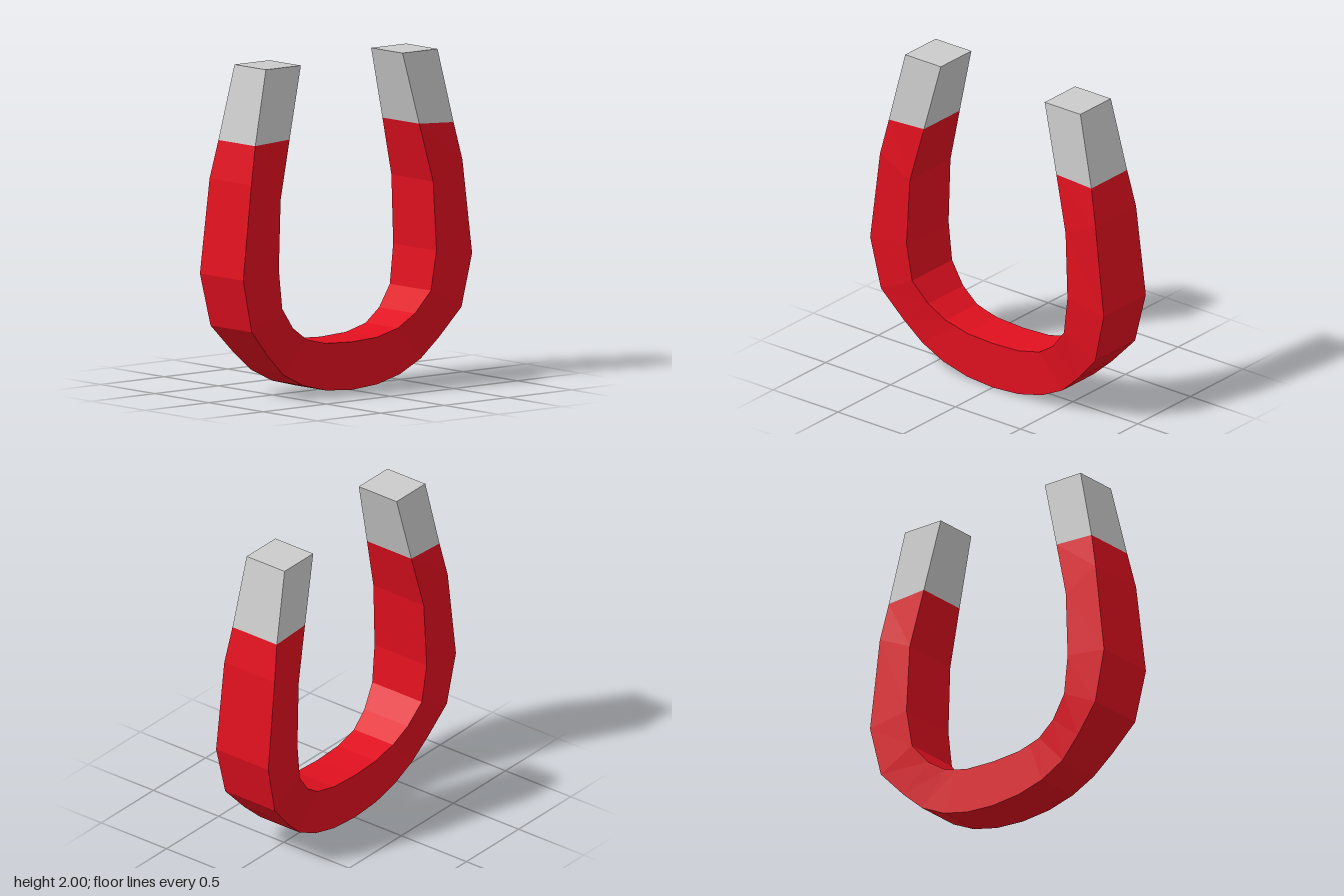
import * as THREE from 'three';

// Half of the horseshoe, bottom centre to tip: outer x, y, inner x, y, half depth
const half = [
  [0, 0, 0, 0.29, 0.145],
  [0.20, 0.015, 0.20, 0.30, 0.145],
  [0.38, 0.06, 0.28, 0.32, 0.145],
  [0.54, 0.14, 0.36, 0.34, 0.149],
  [0.67, 0.26, 0.48, 0.42, 0.166],
  [0.825, 0.43, 0.585, 0.55, 0.19],
  [0.90, 0.75, 0.62, 0.79, 0.20],
  [0.83, 1.32, 0.60, 1.21, 0.193],
  [0.78, 1.55, 0.51, 1.565, 0.17],
  [0.675, 2, 0.40, 2, 0.145],
];
const mirrored = half.slice(1).reverse().map(([ox, oy, ix, iy, d]) => [-ox, oy, -ix, iy, d]);
const sections = [...mirrored, ...half];

// Four corners of a section: outer front, inner front, inner back, outer back
const corners = ([ox, oy, ix, iy, d]) => [[ox, oy, d], [ix, iy, d], [ix, iy, -d], [ox, oy, -d]];

// Flat-shaded bar through a run of sections, with optional end caps
function bar(name, run, color, capStart, capEnd) {
  const rings = run.map(corners);
  const pos = [];
  const quad = (a, b, c, d) => pos.push(...a, ...b, ...c, ...a, ...c, ...d);
  for (let i = 0; i < rings.length - 1; i++) {
    for (let k = 0; k < 4; k++) {
      const n = (k + 1) % 4;
      quad(rings[i][k], rings[i + 1][k], rings[i + 1][n], rings[i][n]);
    }
  }
  if (capStart) quad(...rings[0]);
  if (capEnd) quad(...rings[rings.length - 1].slice().reverse());
  const geometry = new THREE.BufferGeometry();
  geometry.setAttribute('position', new THREE.Float32BufferAttribute(pos, 3));
  geometry.computeVertexNormals();
  const mesh = new THREE.Mesh(geometry, new THREE.MeshStandardMaterial({ color, flatShading: true }));
  mesh.name = name;
  return mesh;
}

export function createModel() {
  const group = new THREE.Group();
  group.name = 'horseshoeMagnet';
  group.add(
    bar('rightTip', sections.slice(0, 2), 0xcccccc, true, false),
    bar('redBody', sections.slice(1, -1), 0xe0101f, false, false),
    bar('leftTip', sections.slice(-2), 0xcccccc, false, true),
  );
  return group;
}
